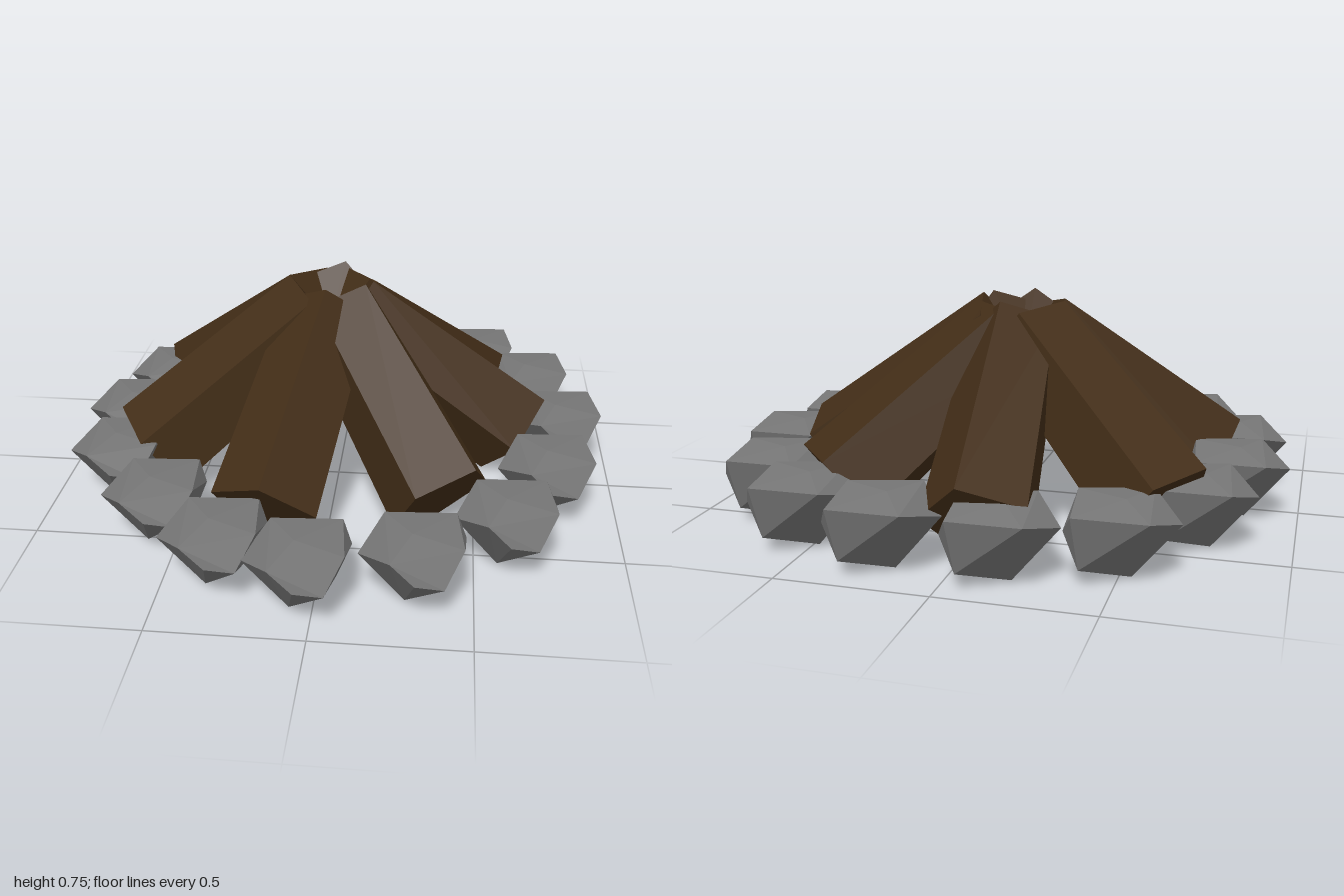
import * as THREE from 'three';
import { ConvexGeometry } from 'three/addons/geometries/ConvexGeometry.js';

const wood = new THREE.MeshStandardMaterial({ color: 0x422d17, flatShading: true });
const stone = new THREE.MeshStandardMaterial({ color: 0x777777, flatShading: true });

// Faceted stone with a nearly flat top and a pointed underside
function stoneGeometry() {
  const points = [
    [0, 0.245, 0], [-0.167, 0.175, 0.018], [-0.095, 0.225, -0.148], [0.135, 0.228, -0.158],
    [0.16, 0.243, 0.072], [-0.062, 0.235, 0.157], [0.012, 0.16, 0.157],
    [0.103, 0.14, 0.138], [0.167, 0.17, -0.11],
    [0.12, 0.05, -0.11], [-0.02, 0, 0.005],
  ];
  return new ConvexGeometry(points.map((p) => new THREE.Vector3(...p)));
}

// Five-sided log leaning inwards; dx, dz is the ground direction of its foot
function makeLog(dx, dz, reach, roll) {
  const slope = Math.atan2(0.45, 0.6);
  const geometry = new THREE.CylinderGeometry(0.165, 0.19, 0.775, 5, 1, false, Math.PI / 2 + roll);
  geometry.rotateZ(Math.PI / 2 - slope);
  geometry.translate(reach - 0.31, 0.378, 0);
  const log = new THREE.Mesh(geometry, wood);
  log.rotation.y = Math.atan2(-dz, dx);
  return log;
}

export function createModel() {
  const model = new THREE.Group();
  model.name = 'campfire';

  // Ring of stones: x, z
  const ring = new THREE.Group();
  ring.name = 'stoneRing';
  const geometry = stoneGeometry();
  [
    [-0.18, -0.842], [0.188, -0.842], [0.495, -0.727], [0.70, -0.495], [0.797, -0.145],
    [0.745, 0.21], [0.597, 0.543], [0.303, 0.773], [-0.053, 0.843], [-0.335, 0.748],
    [-0.58, 0.517], [-0.773, 0.23], [-0.80, -0.095], [-0.72, -0.415], [-0.52, -0.722],
  ].forEach(([x, z], i) => {
    const mesh = new THREE.Mesh(geometry, stone);
    mesh.name = `stone${i + 1}`;
    mesh.position.set(x, 0, z);
    ring.add(mesh);
  });

  // Cone of leaning logs: foot direction x, z, foot distance, roll about its axis
  const logs = new THREE.Group();
  logs.name = 'logPile';
  logs.position.set(-0.03, 0, -0.12);
  [
    [-0.08, -1, 0.67, -0.25], [0.76, -0.66, 0.66, 0.63], [1, -0.035, 0.67, -0.31],
    [0.63, 0.78, 0.665, 0.26], [-0.24, 0.97, 0.675, 0.15], [-0.925, 0.38, 0.675, -0.38],
    [-0.83, -0.55, 0.675, 0.48],
  ].forEach((spec, i) => {
    const log = makeLog(...spec);
    log.name = `log${i + 1}`;
    logs.add(log);
  });

  model.add(ring, logs);
  return model;
}
